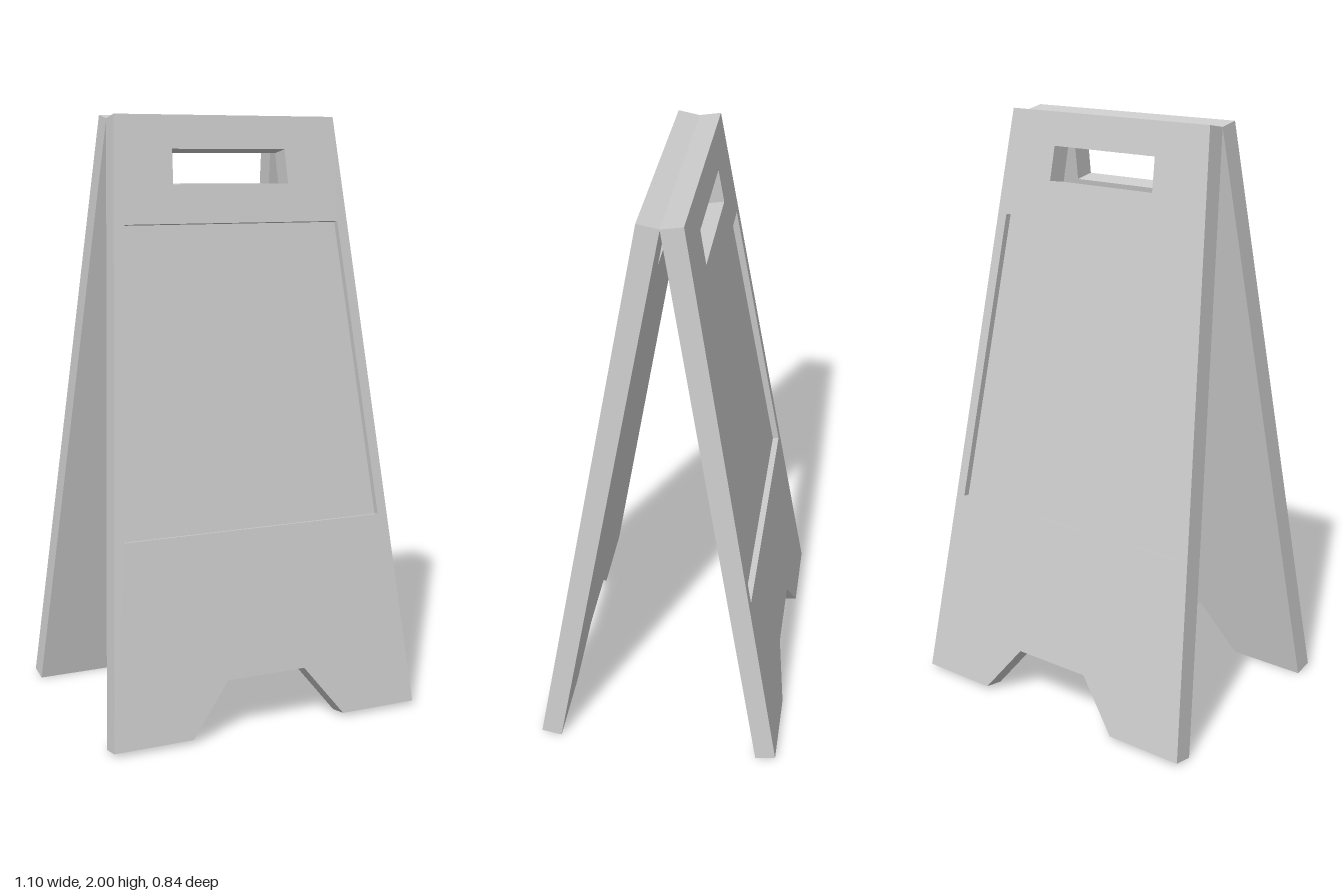
import * as THREE from 'three';
import { mergeGeometries } from 'three/addons/utils/BufferGeometryUtils.js';

const TILT = THREE.MathUtils.degToRad(10);
const T = 0.071; // board thickness
const RECESS = 0.022; // depth of the sign area
const FOOT = 0.35; // z of the inner bottom edge

// Distance along the sloping outer face for a given height
const along = (y) => (y - T * Math.sin(TILT)) / Math.cos(TILT);

// Counter-clockwise outline from its right half, listed bottom to top
function symmetric(half) {
  const right = half.map(([x, y]) => new THREE.Vector2(x, along(y)));
  const left = right.map((p) => new THREE.Vector2(-p.x, p.y)).reverse();
  return [...right, ...left];
}

// Flat face with holes at depth z; flipped faces look towards -z
function face(points, holes, z, flip = false) {
  const shape = new THREE.Shape(points);
  shape.holes = holes.map((h) => new THREE.Path(h));
  const g = new THREE.ShapeGeometry(shape).toNonIndexed();
  if (flip) g.rotateY(Math.PI); // outlines are symmetric in x
  g.deleteAttribute('uv');
  return g.translate(0, 0, z);
}

// Walls along a closed outline from z0 to z1; inward for holes
function walls(points, z0, z1, inward = false) {
  const loop = inward ? [...points].reverse() : points;
  const v = [];
  loop.forEach((a, i) => {
    const b = loop[(i + 1) % loop.length];
    v.push(a.x, a.y, z0, b.x, b.y, z0, b.x, b.y, z1);
    v.push(a.x, a.y, z0, b.x, b.y, z1, a.x, a.y, z1);
  });
  const g = new THREE.BufferGeometry();
  g.setAttribute('position', new THREE.Float32BufferAttribute(v, 3));
  g.computeVertexNormals();
  return g;
}

export function createModel() {
  const model = new THREE.Group();
  model.name = 'foldingFloorSign';
  const material = new THREE.MeshStandardMaterial({ color: 0xcccccc, flatShading: true });

  // Tapered board with a notch between two feet
  const outline = symmetric([[0.14, 0.183], [0.275, 0.0123], [0.548, 0.0123], [0.395, 2]]);
  const handle = symmetric([[0.208, 1.778], [0.203, 1.891]]);
  const sign = symmetric([[0.463, 0.66], [0.385, 1.652]]);

  const board = mergeGeometries([
    face(outline, [handle, sign], T),
    face(outline, [handle], 0, true),
    walls(outline, 0, T),
    walls(handle, 0, T, true),
    walls(sign, T - RECESS, T, true),
  ]);
  const signFace = face(sign, [], T - RECESS);

  // Two identical boards leaning together at the top
  ['front', 'back'].forEach((side, i) => {
    const half = new THREE.Group();
    half.name = side + 'Half';
    half.rotation.y = i * Math.PI;

    const panel = new THREE.Group();
    panel.name = side + 'Panel';
    panel.position.z = FOOT;
    panel.rotation.x = -TILT;

    const boardMesh = new THREE.Mesh(board, material);
    boardMesh.name = side + 'Board';
    const signMesh = new THREE.Mesh(signFace, material);
    signMesh.name = side + 'SignArea';

    panel.add(boardMesh, signMesh);
    half.add(panel);
    model.add(half);
  });
  return model;
}
